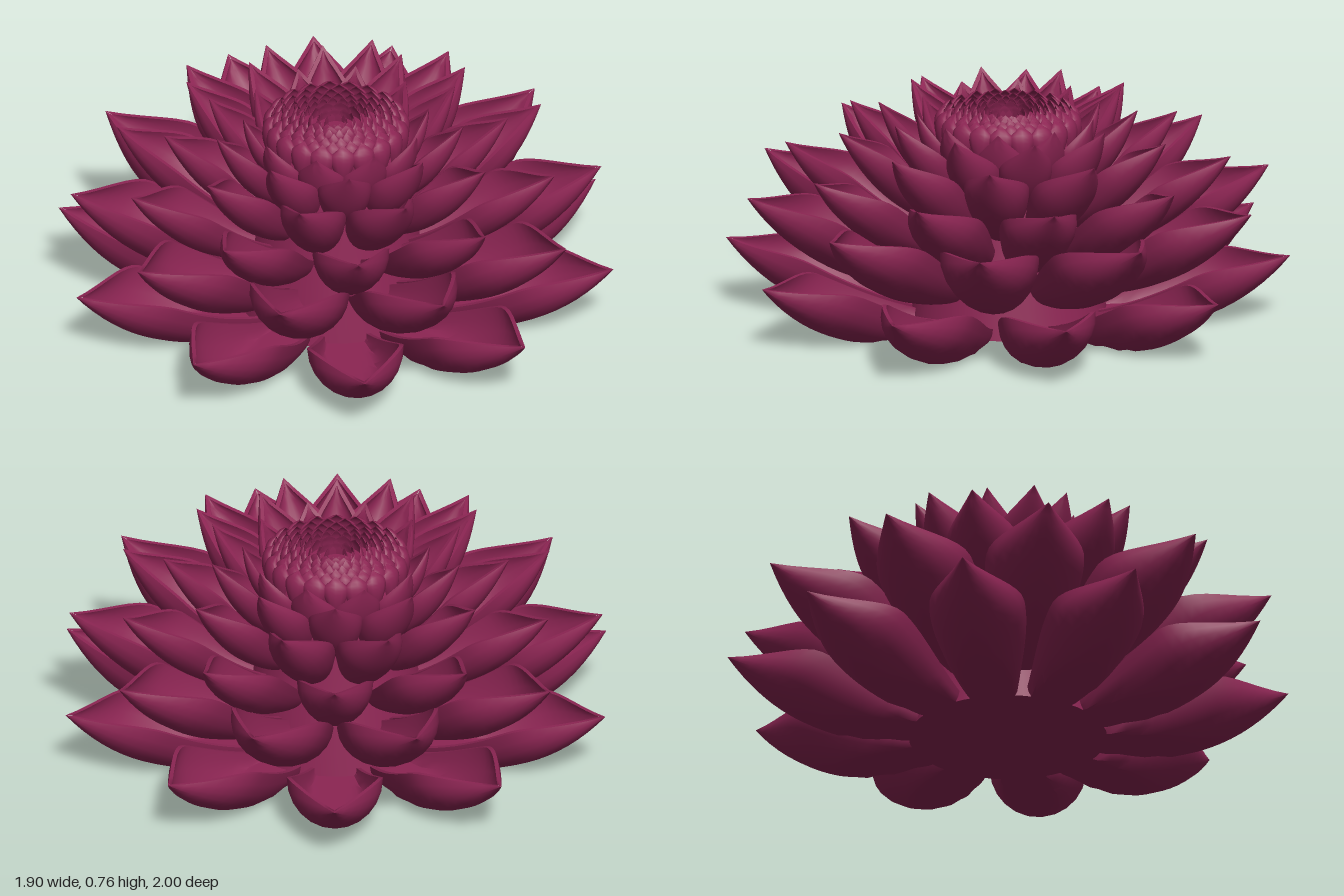
import * as THREE from 'three';
import { toCreasedNormals } from 'three/addons/utils/BufferGeometryUtils.js';

// Relative half width along a petal: narrow root, broad middle, pointed tip
function widthAt(u) {
  return u < 0.6
    ? 0.4 + 0.6 * Math.sin((Math.PI / 2) * (u / 0.6))
    : Math.max(0, Math.cos((Math.PI / 2) * ((u - 0.6) / 0.4)));
}

// Boat-shaped petal pointing along +z: a keel curve swept with a thick U section
function petalGeometry({ root, ctrl, tip, width, depth, wall, nu = 18, nv = 12 }) {
  const keel = new THREE.QuadraticBezierCurve(
    new THREE.Vector2(...root), new THREE.Vector2(...ctrl), new THREE.Vector2(...tip));
  const positions = [];
  const index = [];
  const loop = 2 * (nv + 1);

  const addSide = (u, inset, reverse) => {
    const p = keel.getPoint(u);
    const t = keel.getTangent(u);
    const f = widthAt(u);
    const w = Math.max(0, width * f - inset);
    const lift = Math.min(inset, depth * f);
    const d = depth * f - lift;
    for (let j = 0; j <= nv; j++) {
      const a = (reverse ? -1 : 1) * (j / nv - 0.5) * Math.PI;
      const n = lift + d * (1 - Math.cos(a));
      // Low petals are flattened where they meet the ground
      positions.push(w * Math.sin(a), Math.max(inset, p.y + n * t.x), p.x - n * t.y);
    }
  };

  for (let i = 0; i <= nu; i++) {
    const u = i / nu;
    addSide(u, 0, false);
    addSide(u * 0.975, wall, true);
  }
  for (let i = 0; i < nu; i++) {
    for (let j = 0; j < loop; j++) {
      const k = (j + 1) % loop;
      const a = i * loop + j, b = i * loop + k;
      index.push(a, b, a + loop, b, b + loop, a + loop);
    }
  }
  const geometry = new THREE.BufferGeometry();
  geometry.setAttribute('position', new THREE.Float32BufferAttribute(positions, 3));
  geometry.setIndex(index);
  return toCreasedNormals(geometry, 0.9);
}

// Repeats one petal evenly around the flower
function petalRing(name, count, turn, spec, material) {
  const ring = new THREE.Group();
  ring.name = name;
  const geometry = petalGeometry(spec);
  for (let i = 0; i < count; i++) {
    const petal = new THREE.Mesh(geometry, material);
    petal.name = 'petal';
    petal.rotation.y = ((i + turn) / count) * Math.PI * 2;
    ring.add(petal);
  }
  return ring;
}

export function createModel() {
  const flower = new THREE.Group();
  flower.name = 'flower';
  const petalRed = new THREE.MeshStandardMaterial({ color: 0x8c2553 });
  petalRed.name = 'deep magenta';

  // Solid core with a flat base
  const profile = [[0, 0], [0.35, 0], [0.33, 0.1], [0.29, 0.3], [0.25, 0.5], [0.23, 0.64], [0.17, 0.7], [0, 0.7]]
    .map(([r, y]) => new THREE.Vector2(r, y));
  const core = new THREE.Mesh(toCreasedNormals(new THREE.LatheGeometry(profile, 40), 0.7), petalRed);
  core.name = 'core';
  flower.add(core);

  // Large petals, ten to a ring, each ring turned by half a step
  const rings = [
    { root: [0.25, -0.05], ctrl: [0.75, -0.08], tip: [1.0, 0.24], width: 0.17, depth: 0.18 },
    { root: [0.25, 0.1], ctrl: [0.72, 0.14], tip: [0.94, 0.48], width: 0.175, depth: 0.18 },
    { root: [0.22, 0.22], ctrl: [0.62, 0.28], tip: [0.79, 0.6], width: 0.135, depth: 0.15 },
    { root: [0.2, 0.32], ctrl: [0.48, 0.4], tip: [0.61, 0.7], width: 0.115, depth: 0.13 },
    { root: [0.18, 0.42], ctrl: [0.38, 0.47], tip: [0.46, 0.76], width: 0.095, depth: 0.1 },
    { root: [0.16, 0.48], ctrl: [0.32, 0.53], tip: [0.33, 0.755], width: 0.085, depth: 0.065 },
  ];
  rings.forEach((spec, i) => {
    flower.add(petalRing(`petalRing${i + 1}`, 10, (i % 2) / 2, { ...spec, wall: 0.016 }, petalRed));
  });

  // Bud: rows of small scales that curl towards the middle
  const bud = new THREE.Group();
  bud.name = 'bud';
  const rows = [0.275, 0.245, 0.21, 0.175, 0.14, 0.105, 0.075, 0.045];
  rows.forEach((r, i) => {
    const count = r > 0.12 ? 20 : 10;
    const top = 0.75 - (r < 0.12 ? (0.12 - r) * 0.3 : 0);
    bud.add(petalRing(`scaleRow${i + 1}`, count, (i % 2) / 2, {
      root: [r * 0.9, top - 0.13], ctrl: [r * 1.04, top - 0.02], tip: [r * 0.8, top + 0.005],
      width: r * Math.sin(Math.PI / count) * 1.1, depth: r * 0.1, wall: 0.004, nu: 9, nv: 6,
    }, petalRed));
  });
  flower.add(bud);

  return flower;
}
